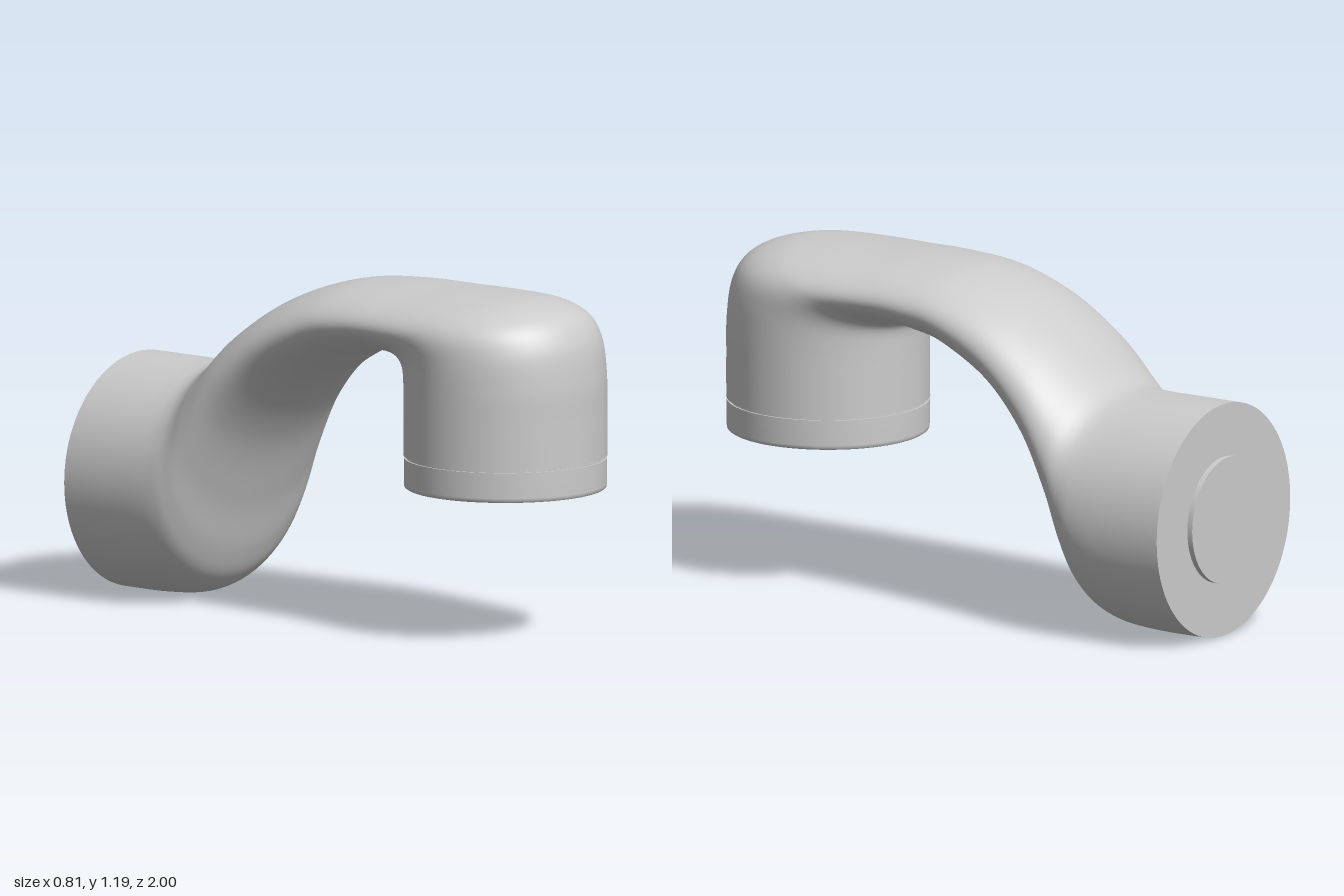
import * as THREE from 'three';

const material = new THREE.MeshStandardMaterial({ color: 0xcccccc, side: THREE.DoubleSide });

// Arm sections: outer z, outer y, inner z, inner y, half width
const sections = [
  [1.0, 0.632, 0.305, 0.632, 0.35],
  [1.0, 0.78, 0.305, 0.74, 0.35],
  [0.998, 0.92, 0.305, 0.84, 0.35],
  [0.975, 1.05, 0.303, 0.905, 0.35],
  [0.91, 1.135, 0.292, 0.935, 0.35],
  [0.78, 1.18, 0.27, 0.95, 0.346],
  [0.6, 1.19, 0.24, 0.955, 0.34],
  [0.4, 1.19, 0.19, 0.954, 0.333],
  [0.2, 1.19, 0.12, 0.94, 0.33],
  [0.0, 1.172, 0.0, 0.9, 0.33],
  [-0.2, 1.105, -0.2, 0.775, 0.34],
  [-0.38, 0.995, -0.35, 0.59, 0.357],
  [-0.5, 0.89, -0.455, 0.36, 0.375],
  [-0.56, 0.845, -0.52, 0.17, 0.388],
  [-0.61, 0.823, -0.575, 0.07, 0.4],
  [-0.68, 0.817, -0.66, 0.02, 0.406],
  [-0.8, 0.817, -0.8, 0.004, 0.407],
  [-0.98, 0.817, -0.98, 0.003, 0.407],
];

// Smooth loft of oval rings through the sections
function loft(rows, steps, sides) {
  const curve = (f) => new THREE.CatmullRomCurve3(rows.map(f), false, 'catmullrom', 0.5);
  const outer = curve((s) => new THREE.Vector3(s[4], s[1], s[0]));
  const inner = curve((s) => new THREE.Vector3(0, s[3], s[2]));
  const positions = [], index = [];
  for (let i = 0; i <= steps; i++) {
    const o = outer.getPoint(i / steps), n = inner.getPoint(i / steps);
    for (let j = 0; j < sides; j++) {
      const a = (j / sides) * Math.PI * 2, s = Math.sin(a) / 2;
      positions.push(
        o.x * Math.cos(a),
        (o.y + n.y) / 2 + (o.y - n.y) * s,
        (o.z + n.z) / 2 + (o.z - n.z) * s
      );
      if (i < steps) {
        const k = (j + 1) % sides, p = i * sides, q = p + sides;
        index.push(p + j, q + j, p + k, p + k, q + j, q + k);
      }
    }
  }
  const g = new THREE.BufferGeometry();
  g.setAttribute('position', new THREE.Float32BufferAttribute(positions, 3));
  g.setIndex(index);
  g.computeVertexNormals();
  return g;
}

// Turned part made of separate strips, so the edges between them stay sharp
function turned(name, strips) {
  const group = new THREE.Group();
  group.name = name;
  for (const strip of strips) {
    const points = strip.map(([r, y]) => new THREE.Vector2(r, y));
    group.add(new THREE.Mesh(new THREE.LatheGeometry(points, 96), material));
  }
  return group;
}

export function createModel() {
  const model = new THREE.Group();
  model.name = 'curvedLink';

  // Curved body from the front socket to the rear flange
  const arm = new THREE.Mesh(loft(sections, 170, 96), material);
  arm.name = 'arm';
  model.add(arm);

  // Front end cap with a thin groove above it
  const cap = turned('endCap', [
    [[0, 0.52], [0.34, 0.52]],
    [[0.34, 0.52], [0.346, 0.524], [0.3475, 0.535], [0.3475, 0.624]],
    [[0.3475, 0.624], [0.341, 0.624]],
    [[0.341, 0.624], [0.341, 0.632]],
    [[0.341, 0.632], [0.35, 0.632]],
  ]);
  cap.position.z = 0.6525;
  model.add(cap);

  // Rear flange face and its raised round boss
  const face = new THREE.Mesh(new THREE.CircleGeometry(0.407, 96), material);
  face.name = 'rearFace';
  face.rotation.y = Math.PI;
  face.position.set(0, 0.41, -0.98);
  model.add(face);

  const boss = new THREE.Mesh(new THREE.CylinderGeometry(0.22, 0.22, 0.04, 96), material);
  boss.name = 'rearBoss';
  boss.rotation.x = Math.PI / 2;
  boss.position.set(0, 0.413, -0.98);
  model.add(boss);

  return model;
}
